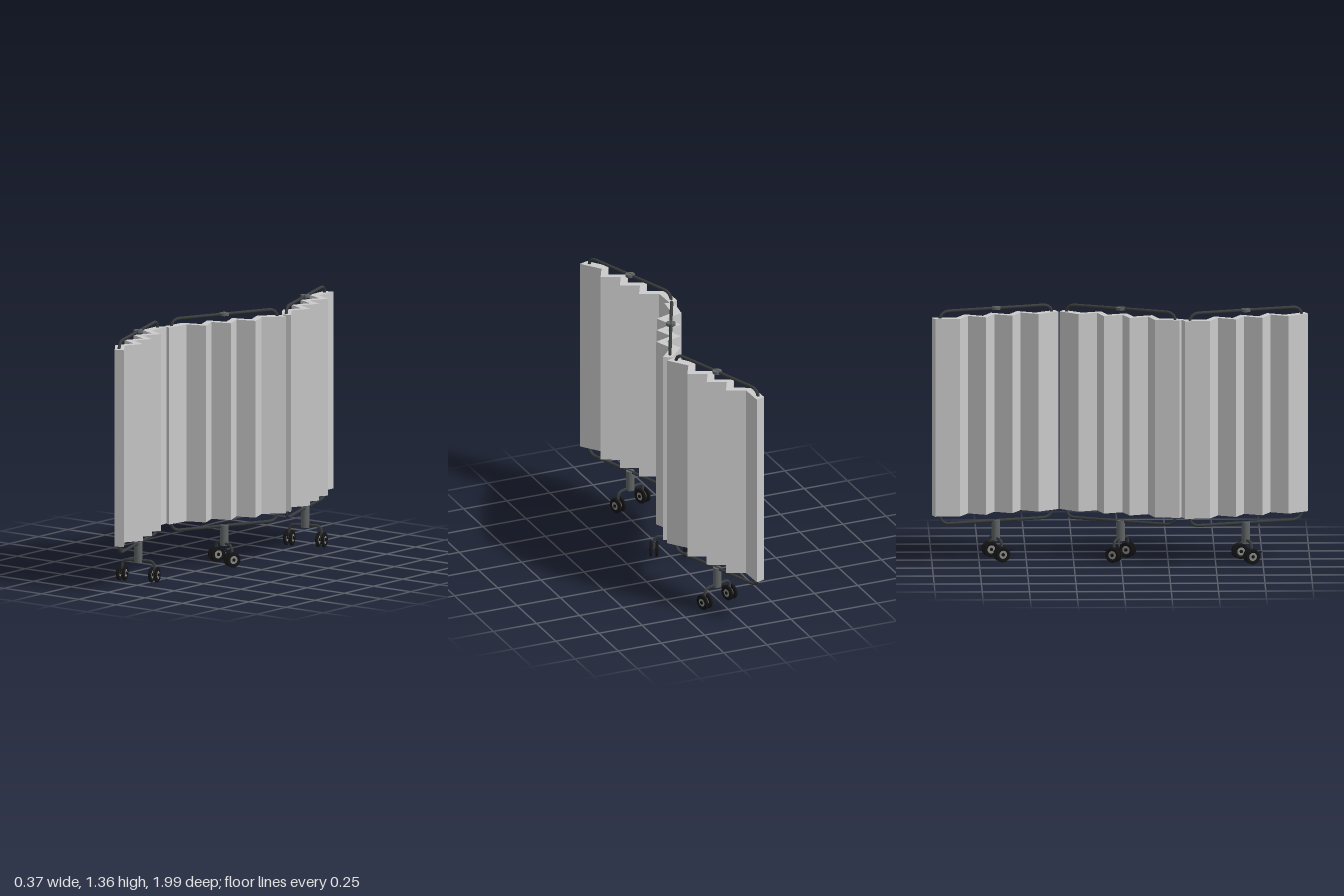
import * as THREE from 'three';

const mat = (color, flatShading = false) => new THREE.MeshStandardMaterial({ color, flatShading });
const curtainMat = mat(0xcccccc, true);
const frameMat = mat(0x3a3d3d);
const postMat = mat(0x606464);
const tyreMat = mat(0x141414);
const hubMat = mat(0x8a8a8a);
const V = (x, y, z) => new THREE.Vector3(x, y, z);

function add(parent, name, geometry, material, x = 0, y = 0, z = 0) {
  const m = new THREE.Mesh(geometry, material);
  m.name = name;
  m.position.set(x, y, z);
  parent.add(m);
  return m;
}

// Path of straight runs with rounded corners
function roundedPath(points, r, closed) {
  const path = new THREE.CurvePath();
  const n = points.length;
  const toward = (a, b) => a.clone().add(b.clone().sub(a).setLength(r));
  let from = closed ? toward(points[0], points[1]) : points[0];
  const last = closed ? n : n - 2;
  for (let i = 1; i <= last; i++) {
    const c = points[i % n];
    const a = toward(c, points[i - 1]), b = toward(c, points[(i + 1) % n]);
    path.add(new THREE.LineCurve3(from, a));
    path.add(new THREE.QuadraticBezierCurve3(a, c, b));
    from = b;
  }
  if (!closed) path.add(new THREE.LineCurve3(from, points[n - 1]));
  return path;
}

// Pleated curtain: a zigzag band extruded upwards
function curtainGeometry() {
  const pleats = [[-0.347, -0.014]];
  for (let i = 0; i < 7; i++) pleats.push([-0.222 + i * 0.074, i % 2 ? 0.024 : -0.053]);
  pleats.push([0.347, -0.014]);
  const outline = pleats.map(([u, v]) => new THREE.Vector2(v, u));
  const back = pleats.map(([u, v]) => new THREE.Vector2(v + 0.052, u)).reverse();
  const geo = new THREE.ExtrudeGeometry(new THREE.Shape([...outline, ...back]), { depth: 1.06, bevelEnabled: false });
  return geo.rotateX(-Math.PI / 2).translate(0, 0.25, 0);
}

// Twin-wheel caster, axle along x
function caster(x, brake) {
  const g = new THREE.Group();
  g.name = 'caster';
  g.position.set(x, 0.041, 0);
  const tyre = new THREE.LatheGeometry([
    [0.022, -0.007], [0.036, -0.007], [0.041, -0.004], [0.041, 0.004], [0.036, 0.007], [0.022, 0.007], [0.022, -0.007],
  ].map(p => new THREE.Vector2(...p)), 24).rotateZ(Math.PI / 2);
  const hub = new THREE.CylinderGeometry(0.023, 0.023, 0.01, 20).rotateZ(Math.PI / 2);
  const cap = new THREE.CylinderGeometry(0.009, 0.009, 0.019, 12).rotateZ(Math.PI / 2);
  for (const s of [-1, 1]) {
    add(g, 'tyre', tyre, tyreMat, s * 0.016);
    add(g, 'wheelHub', hub, hubMat, s * 0.016);
    add(g, 'hubCap', cap, tyreMat, s * 0.016);
  }
  add(g, 'axle', new THREE.CylinderGeometry(0.006, 0.006, 0.04, 10).rotateZ(Math.PI / 2), frameMat);
  if (brake) add(g, 'brakeLever', new THREE.BoxGeometry(0.016, 0.005, 0.05), tyreMat, 0, 0.02, brake * 0.032);
  return g;
}

function panel(x, z, degrees, brake) {
  const g = new THREE.Group();
  g.name = 'screenPanel';
  g.position.set(x, 0, z);
  g.rotation.y = THREE.MathUtils.degToRad(degrees);
  add(g, 'curtain', curtainGeometry(), curtainMat);

  // Tubular frame running above, below and inside the curtain
  const corners = [V(0, 0.207, -0.317), V(0, 0.207, 0.317), V(0, 1.347, 0.317), V(0, 1.347, -0.317)];
  add(g, 'frame', new THREE.TubeGeometry(roundedPath(corners, 0.055, true), 220, 0.0085, 8, true), frameMat);
  add(g, 'topKnob', new THREE.CylinderGeometry(0.025, 0.025, 0.015, 16), postMat, 0, 1.347);

  // Post with two bent legs
  add(g, 'post', new THREE.CylinderGeometry(0.023, 0.023, 0.11, 20), postMat, 0, 0.157);
  for (const s of [-1, 1]) {
    const leg = roundedPath([V(0, 0.114, 0), V(s * 0.09, 0.114, 0), V(s * 0.09, 0.041, 0)], 0.035, false);
    add(g, 'leg', new THREE.TubeGeometry(leg, 24, 0.008, 8, false), frameMat);
    g.add(caster(s * 0.09, s < 0 ? brake : 0));
  }
  return g;
}

export function createModel() {
  const model = new THREE.Group();
  model.name = 'foldingScreen';
  model.add(
    panel(0.025, -0.66, 19.3, 1),
    panel(-0.003, 0, -24.9, -1),
    panel(-0.063, 0.66, 19.3, 1),
  );
  return model;
}
